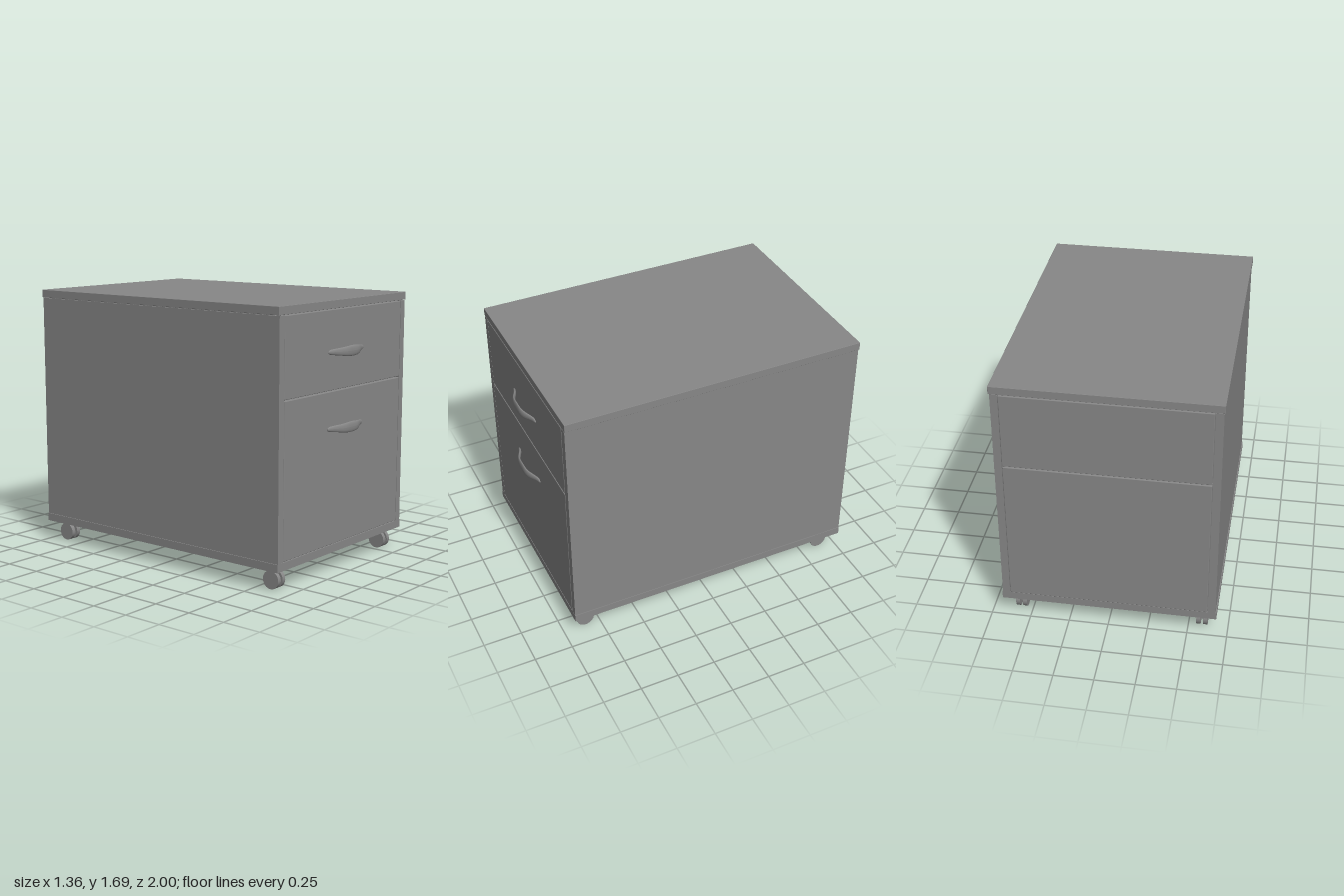
import * as THREE from 'three';
import { RoundedBoxGeometry } from 'three/addons/geometries/RoundedBoxGeometry.js';

const material = new THREE.MeshStandardMaterial({ color: 0x878787 });

function add(parent, name, geometry, x = 0, y = 0, z = 0) {
  const mesh = new THREE.Mesh(geometry, material);
  mesh.name = name;
  mesh.position.set(x, y, z);
  parent.add(mesh);
  return mesh;
}

// Board given by its limits on each axis; an edge radius makes it softened
function board(parent, name, [x0, x1], [y0, y1], [z0, z1], radius = 0) {
  const size = [x1 - x0, y1 - y0, z1 - z0];
  const geometry = radius ? new RoundedBoxGeometry(...size, 2, radius) : new THREE.BoxGeometry(...size);
  return add(parent, name, geometry, (x0 + x1) / 2, (y0 + y1) / 2, (z0 + z1) / 2);
}

// Bowed pull: a tube of oval sections, fuller and further out in the middle
function handleGeometry() {
  const half = 0.19;
  const geometry = new THREE.CylinderGeometry(1, 1, 2, 20, 48);
  geometry.rotateZ(Math.PI / 2);
  const p = geometry.attributes.position;
  for (let i = 0; i < p.count; i++) {
    const t = Math.sin(p.getX(i) * Math.PI / 2);
    const bell = 0.5 + 0.5 * Math.cos(Math.PI * t);
    const bow = Math.sin(bell * Math.PI / 2);
    const end = Math.sqrt(Math.max(0, 1 - Math.pow(Math.abs(t), 12)));
    const tall = (0.017 + 0.016 * bell) * end;
    const deep = 0.009 * end;
    p.setXYZ(i, t * half, p.getY(i) * tall, 0.003 + 0.047 * bow + p.getZ(i) * deep);
  }
  geometry.computeVertexNormals();
  return geometry;
}

// Drawer with softened front and back panels joined by an open-topped box
function drawer(name, y0, y1, handleY) {
  const group = new THREE.Group();
  group.name = name;
  board(group, 'drawerFront', [-0.622, 0.622], [y0, y1], [0.89, 0.941], 0.004);
  board(group, 'drawerBack', [-0.622, 0.622], [y0, y1], [-1, -0.95], 0.004);
  board(group, 'drawerBottom', [-0.6, 0.6], [y0 + 0.02, y0 + 0.04], [-0.95, 0.89]);
  for (const s of [-1, 1]) {
    add(group, 'drawerSide', new THREE.BoxGeometry(0.02, y1 - y0 - 0.1, 1.84), s * 0.59, (y0 + y1) / 2 - 0.03, -0.03);
  }
  add(group, 'handle', handleGeometry(), 0, handleY, 0.94);
  return group;
}

// Twin-wheel caster with its stem set behind the axle
function caster(x, z) {
  const group = new THREE.Group();
  group.name = 'caster';
  for (const s of [-1, 1]) {
    const wheel = new THREE.CylinderGeometry(0.057, 0.057, 0.026, 32).rotateZ(Math.PI / 2);
    add(group, 'wheel', wheel, s * 0.022, 0.057, 0);
  }
  add(group, 'axle', new THREE.CylinderGeometry(0.016, 0.016, 0.03, 16).rotateZ(Math.PI / 2), 0, 0.057, 0);
  add(group, 'fork', new THREE.BoxGeometry(0.014, 0.035, 0.045), 0, 0.07, -0.01);
  add(group, 'stem', new THREE.CylinderGeometry(0.008, 0.008, 0.08, 16), 0, 0.1, -0.02);
  group.position.set(x, 0, z);
  return group;
}

export function createModel() {
  const model = new THREE.Group();
  model.name = 'drawerCabinet';

  // Carcass
  board(model, 'topBoard', [-0.68, 0.679], [1.638, 1.688], [-0.998, 0.941], 0.002);
  board(model, 'bottomBoard', [-0.68, 0.675], [0.13, 0.18], [-0.995, 0.941]);
  board(model, 'rightPanel', [-0.674, -0.625], [0.18, 1.634], [-0.995, 0.94]);
  board(model, 'leftPanel', [0.625, 0.671], [0.18, 1.634], [-0.995, 0.94]);
  // Spacer under the top and divider behind the drawer gap
  board(model, 'topSpacer', [-0.66, 0.66], [1.632, 1.64], [-0.94, 0.88]);
  board(model, 'divider', [-0.625, 0.625], [1.136, 1.15], [-0.94, 0.88]);

  // Drawers
  model.add(drawer('upperDrawer', 1.146, 1.633, 1.379));
  model.add(drawer('lowerDrawer', 0.184, 1.139, 0.911));

  // Casters
  for (const x of [-0.586, 0.571]) {
    for (const z of [0.847, -0.882]) model.add(caster(x, z));
  }
  return model;
}
